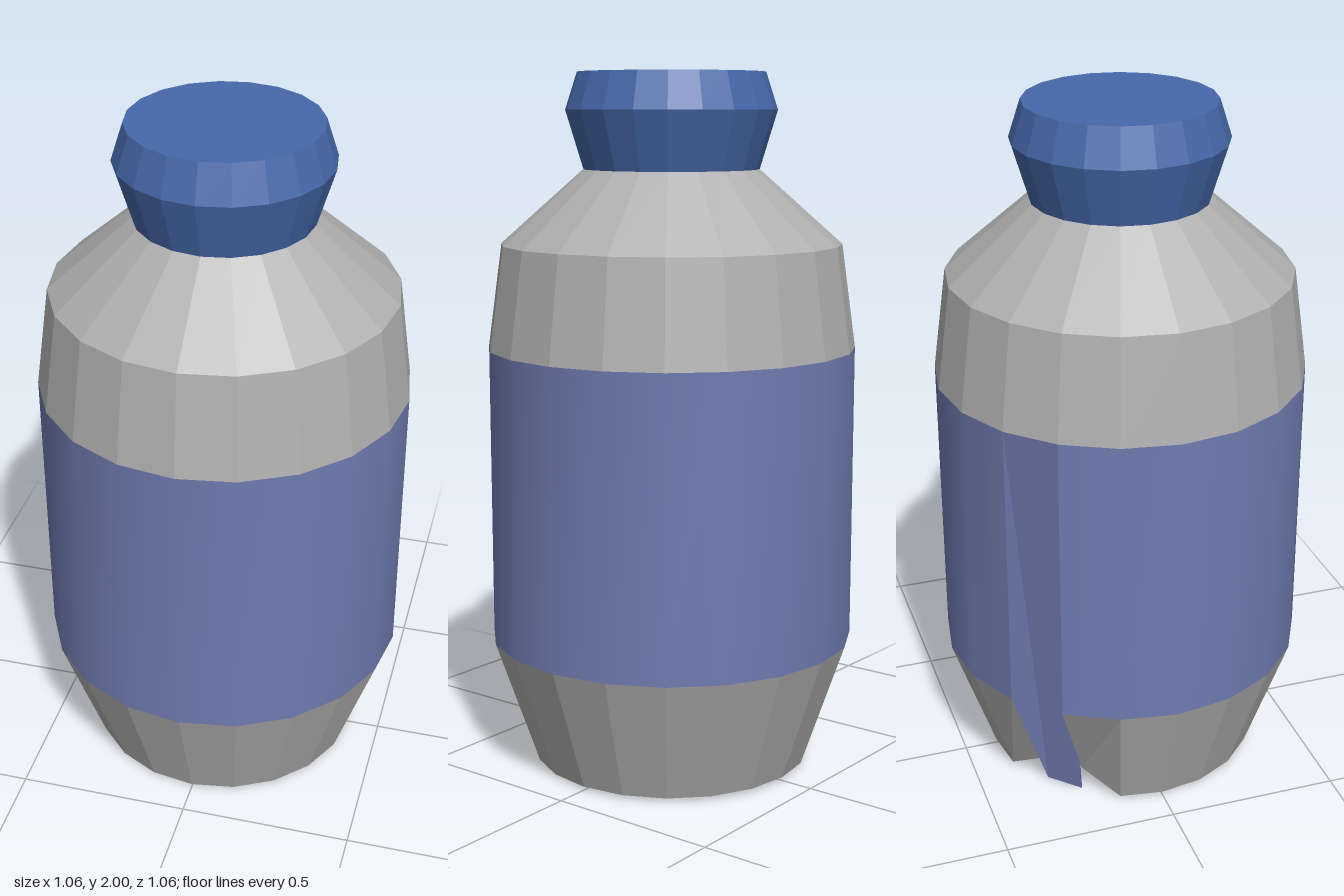
import * as THREE from 'three';
import { mergeVertices } from 'three/addons/utils/BufferGeometryUtils.js';

const SIDES = 20;
const GROOVE = 12; // index of the sunken sector at the back

// Point on a ring: corner index, radius, height
const at = (i, r, y) => {
  const a = (i % SIDES) * Math.PI * 2 / SIDES;
  return [r * Math.cos(a), y, r * Math.sin(a)];
};

function build(name, polygons, material, smooth = false) {
  const points = [];
  for (const p of polygons) {
    for (let k = 1; k < p.length - 1; k++) points.push(...p[0], ...p[k], ...p[k + 1]);
  }
  let geometry = new THREE.BufferGeometry();
  geometry.setAttribute('position', new THREE.Float32BufferAttribute(points, 3));
  if (smooth) geometry = mergeVertices(geometry, 1e-4);
  geometry.computeVertexNormals();
  const mesh = new THREE.Mesh(geometry, material);
  mesh.name = name;
  return mesh;
}

// Band of faces between successive [radius, height] rings
function bands(profile, skip = -1) {
  const faces = [];
  for (let j = 0; j < profile.length - 1; j++) {
    const [r0, y0] = profile[j], [r1, y1] = profile[j + 1];
    for (let i = 0; i < SIDES; i++) {
      if (i === skip) continue;
      faces.push([at(i + 1, r0, y0), at(i, r0, y0), at(i, r1, y1), at(i + 1, r1, y1)]);
    }
  }
  return faces;
}

// Flat disc closing a ring
const disc = (r, y) => [Array.from({ length: SIDES }, (_, i) => at(SIDES - i, r, y))];

export function createModel() {
  const grey = new THREE.MeshStandardMaterial({ color: 0xb0b0b0, side: THREE.DoubleSide });
  const labelBlue = new THREE.MeshStandardMaterial({ color: 0x6f7bb0, side: THREE.DoubleSide });
  const capBlue = new THREE.MeshStandardMaterial({ color: 0x4668aa });
  grey.name = 'bottle grey';
  labelBlue.name = 'label blue';
  capBlue.name = 'cap blue';

  const R = 0.528, low = 0.375, high = 1.225;
  const model = new THREE.Group();
  model.name = 'bottle';

  // Shoulder and neck
  model.add(build('shoulder', bands([[R, high], [0.487, 1.52], [0.25, 1.73]]), grey));

  // Smooth label band, open at the groove
  model.add(build('label', bands([[R, low], [R, high]], GROOVE), labelBlue, true));

  // Tapered base, its foot corners pulled up and in beside the groove
  const foot = (i) => (i === GROOVE || i === GROOVE + 1) ? at(i, 0.37, 0.075) : at(i, 0.403, 0.01);
  const sides = [], underside = [];
  for (let i = 0; i < SIDES; i++) {
    const a = foot(i), b = foot((i + 1) % SIDES);
    underside.push([[0, 0.01, 0], a, b]);
    if (i !== GROOVE) sides.push([b, a, at(i, R, low), at(i + 1, R, low)]);
  }
  model.add(build('base', sides, grey));
  model.add(build('underside', underside, grey));

  // Sloping strip in the groove, with its two side walls
  const g = GROOVE, h = GROOVE + 1;
  model.add(build('grooveStrip', [
    [at(h, 0.37, 0), at(g, 0.37, 0), at(g, R, high), at(h, R, high)],
  ], labelBlue));
  model.add(build('grooveWalls', [
    [at(g, R, high), at(g, 0.37, 0), at(g, R, low)],
    [at(h, R, high), at(h, R, low), at(h, 0.37, 0)],
  ], labelBlue));

  // Cap
  model.add(build('cap', [
    ...bands([[0.25, 1.73], [0.3, 1.895], [0.266, 2]]),
    ...disc(0.266, 2),
    ...disc(0.25, 1.73).map((p) => p.reverse()),
  ], capBlue));

  return model;
}
